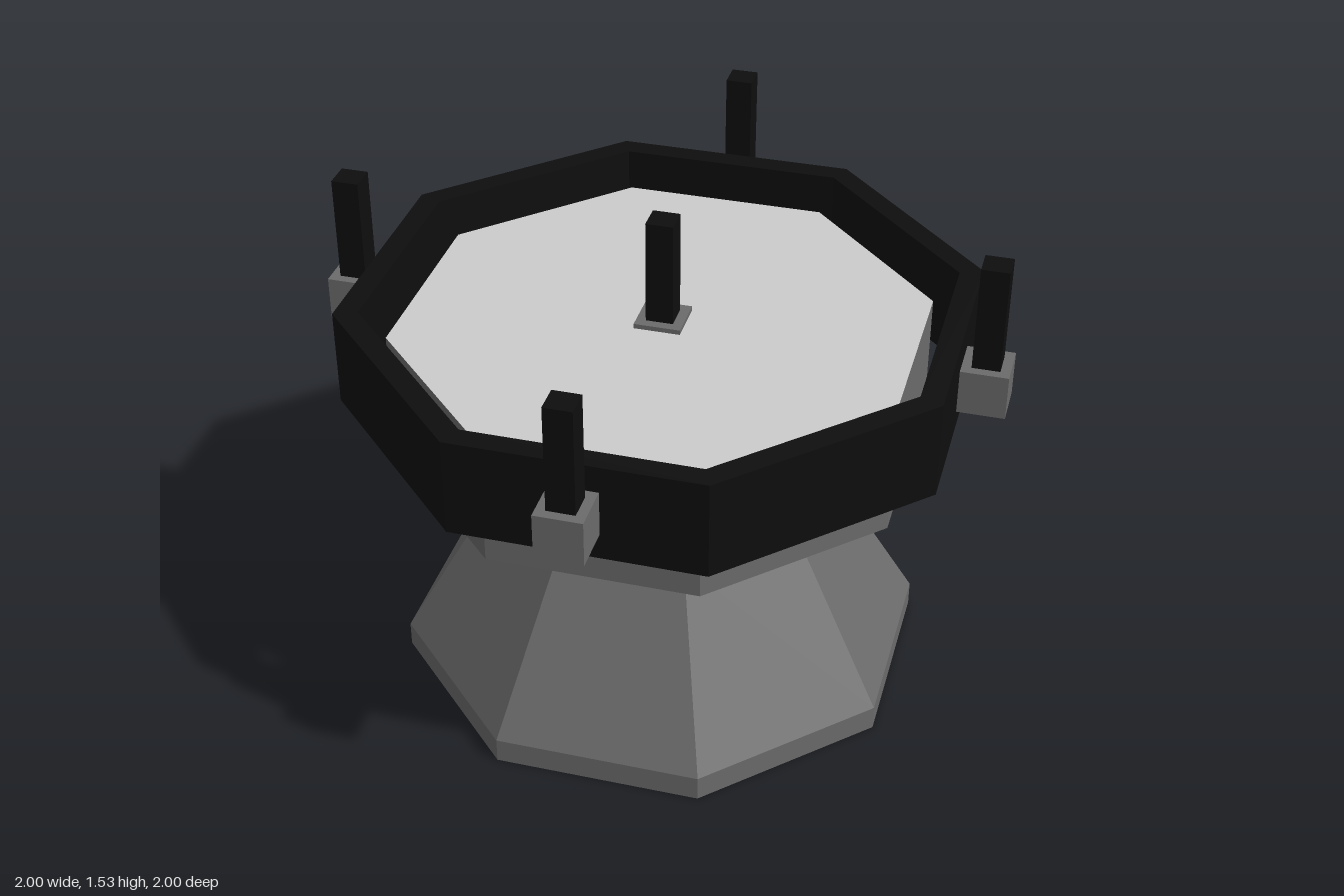
import * as THREE from 'three';

const SIDES = 8;

const flat = (color) => new THREE.MeshStandardMaterial({ color, flatShading: true });

export function createModel() {
  const model = new THREE.Group();
  model.name = 'octagonalPedestal';
  const lightGrey = flat(0xcccccc);
  const darkGrey = flat(0x6b6b6b);
  const black = flat(0x0e0e0e);

  // Octagonal solid of revolution from [radius, height] points, listed bottom to top
  function octagon(name, profile, material) {
    const points = profile.map(([r, y]) => new THREE.Vector2(r, y));
    const mesh = new THREE.Mesh(new THREE.LatheGeometry(points, SIDES), material);
    mesh.name = name;
    model.add(mesh);
  }

  // Flared foot, pale neck band and widening upper drum
  octagon('foot', [[0, 0], [0.83, 0], [0.83, 0.08], [0.5, 0.635]], darkGrey);
  octagon('neckBand', [[0.5, 0.635], [0.5, 0.685]], lightGrey);
  octagon('drum', [[0.5, 0.685], [0.83, 0.785], [0.83, 1.185]], darkGrey);
  octagon('topPlate', [[0.83, 1.185], [0, 1.185]], lightGrey);

  // Black collar standing clear of the drum
  octagon('collar', [[0.98, 0.975], [0.98, 1.28], [0.905, 1.28], [0.905, 0.975], [0.98, 0.975]], black);

  // Square post in a grey socket
  function addPost(name, radius, angle) {
    const post = new THREE.Group();
    post.name = name;
    const socket = new THREE.Mesh(new THREE.BoxGeometry(0.143, 0.14, 0.143), darkGrey);
    socket.name = 'socket';
    socket.position.y = 1.13;
    const rod = new THREE.Mesh(new THREE.BoxGeometry(0.084, 0.33, 0.084), black);
    rod.name = 'rod';
    rod.position.y = 1.365;
    post.add(socket, rod);
    post.position.set(radius * Math.cos(angle), 0, radius * Math.sin(angle));
    post.rotation.y = -angle;
    model.add(post);
  }

  // One post in the centre and four on alternate collar faces
  addPost('centrePost', 0, Math.PI / 8);
  for (let i = 0; i < 4; i++) {
    addPost(`collarPost${i + 1}`, 0.98, Math.PI / 8 + (i * Math.PI) / 2);
  }

  return model;
}
